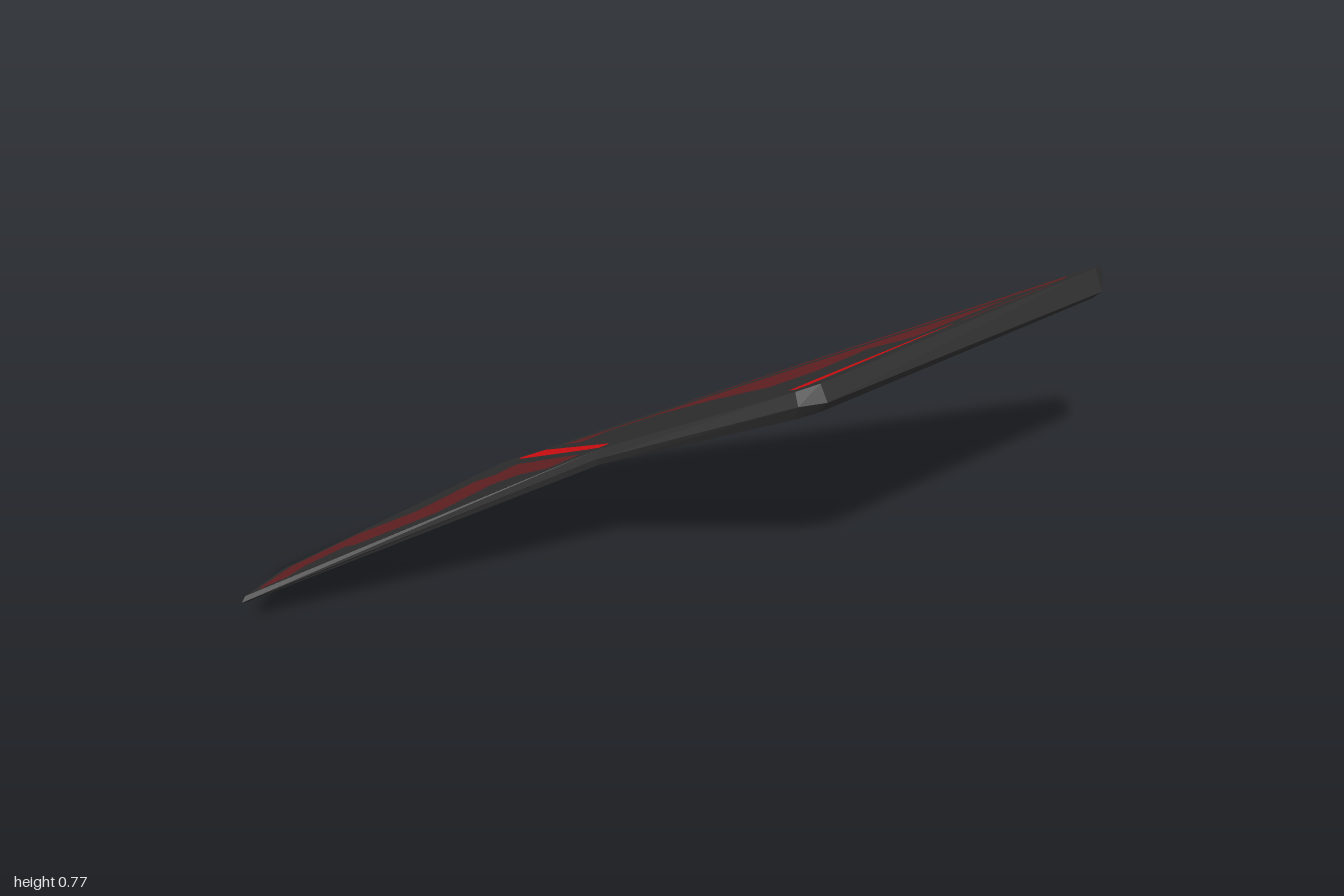
import * as THREE from 'three';

const mat = (name, color) => {
  const m = new THREE.MeshStandardMaterial({ color });
  m.name = name;
  return m;
};

// Outline of the wing [x, z] with the height of its sharp middle edge, clockwise from above
const EDGE = [
  [0.667, -1, 0.7], [0.71, -1, 0.725], [0.74, -0.95, 0.71], [0.56, 0.05, 0.71], [0.51, 0.1, 0.70],
  [-0.016, 0.26, 0.42], [-0.6, 1, 0.083], [-0.74, 0.775, 0.007], [-0.635, 0.04, 0.06],
];
// The same outline drawn in, where the bevels meet the flat faces
const INSET = [
  [0.665, -0.995], [0.703, -0.995], [0.712, -0.95], [0.533, 0.045], [0.488, 0.085],
  [-0.016, 0.252], [-0.6, 0.988], [-0.734, 0.773], [-0.63, 0.042],
];
const MAIN = [0, 1, 2, 3, 4, 5, 8];
const TIP = [5, 6, 7, 8];

// Face planes: height at the rear joint corner, slope in x, slope in z
const plane = (y, b, c) => (x, z) => y + b * (x + 0.635) + c * (z - 0.04);
const TOP = { main: plane(0.065, 0.587, 0.085), tip: plane(0.065, 0.613, 0.0118) };
const BOTTOM = { main: plane(0.055, 0.527, 0.085), tip: plane(0.055, 0.556, 0.0032) };

// Painted areas [x, z]
const MAIN_PANELS = {
  largePanel: [[0.566, -0.777], [0.48, -0.43], [0.333, -0.443], [0.315, -0.24], [0.23, -0.146],
    [0, -0.185], [-0.18, -0.17], [-0.302, -0.09], [-0.312, 0.013], [-0.43, -0.03]],
  rearEdgePanel: [[0.635, -0.95], [0.65, -0.885], [0.587, -0.845], [-0.18, -0.29], [-0.185, -0.305]],
  rootPanel: [[0.635, -0.835], [0.65, -0.835], [0.572, -0.53], [0.556, -0.53]],
};
const MAIN_STRIPES = {
  jointStripe: [[-0.56, 0.02], [-0.49, -0.015], [-0.033, 0.19], [-0.04, 0.225], [-0.13, 0.195], [-0.54, 0.045]],
  rootStripe: [[0.55, -0.5], [0.557, -0.5], [0.535, -0.38], [0.475, 0.01], [0.455, 0.04], [0.425, 0.03], [0.44, -0.06], [0.52, -0.4]],
};
const TIP_PANELS = {
  tipPanel: [[-0.455, 0.135], [-0.08, 0.255], [-0.127, 0.33], [-0.26, 0.31], [-0.333, 0.347], [-0.344, 0.538],
    [-0.513, 0.687], [-0.566, 0.676], [-0.593, 0.798], [-0.556, 0.878], [-0.593, 0.947], [-0.624, 0.92],
    [-0.709, 0.761], [-0.672, 0.549], [-0.54, 0.443], [-0.529, 0.231], [-0.466, 0.21]],
};

// Flat polygon, with optional cut-outs, laid on a sloping plane
function face(points, holes, height, down) {
  const v2 = (list) => list.map(([x, z]) => new THREE.Vector2(x, -z));
  const shape = new THREE.Shape(v2(points));
  shape.holes = holes.map((h) => new THREE.Path(v2(h)));
  const geo = new THREE.ShapeGeometry(shape);
  const p = geo.attributes.position;
  for (let i = 0; i < p.count; i++) {
    const x = p.getX(i), z = -p.getY(i);
    p.setXYZ(i, x, height(x, z), z);
  }
  if (down) geo.setIndex(Array.from(geo.index.array).reverse());
  geo.computeVertexNormals();
  return geo;
}

// Bevelled rim joining top face, middle edge and bottom face
function rim() {
  const ring = (planes) => INSET.map(([x, z], i) => [x, (i > 5 && i < 8 ? planes.tip : planes.main)(x, z), z]);
  const rings = [ring(TOP), EDGE.map(([x, z, y]) => [x, y, z]), ring(BOTTOM)];
  const pos = [];
  for (let r = 0; r < 2; r++) {
    for (let i = 0; i < EDGE.length; i++) {
      const j = (i + 1) % EDGE.length;
      const a = rings[r][i], b = rings[r][j], c = rings[r + 1][j], d = rings[r + 1][i];
      pos.push(...a, ...b, ...c, ...a, ...c, ...d);
    }
  }
  const geo = new THREE.BufferGeometry();
  geo.setAttribute('position', new THREE.Float32BufferAttribute(pos, 3));
  geo.computeVertexNormals();
  return geo;
}

export function createModel() {
  const charcoal = mat('charcoal', 0x303030);
  const darkRed = mat('dark red', 0x662224);
  const brightRed = mat('bright red', 0xdc0e12);
  const model = new THREE.Group();
  model.name = 'wing';

  const add = (name, geo, material) => {
    const mesh = new THREE.Mesh(geo, material);
    mesh.name = name;
    model.add(mesh);
  };

  add('bevelledRim', rim(), charcoal);

  // Top and bottom skins carry the same painted pattern
  for (const [side, planes, down] of [['top', TOP, false], ['bottom', BOTTOM, true]]) {
    const skin = (name, ids, height, panels, stripes) => {
      const cuts = [...Object.values(panels), ...Object.values(stripes)];
      add(`${side} ${name}`, face(ids.map((i) => INSET[i]), cuts, height, down), charcoal);
      for (const [n, pts] of Object.entries(panels)) add(`${side} ${n}`, face(pts, [], height, down), darkRed);
      for (const [n, pts] of Object.entries(stripes)) add(`${side} ${n}`, face(pts, [], height, down), brightRed);
    };
    skin('mainSkin', MAIN, planes.main, MAIN_PANELS, MAIN_STRIPES);
    skin('tipSkin', TIP, planes.tip, TIP_PANELS, {});
  }
  return model;
}
